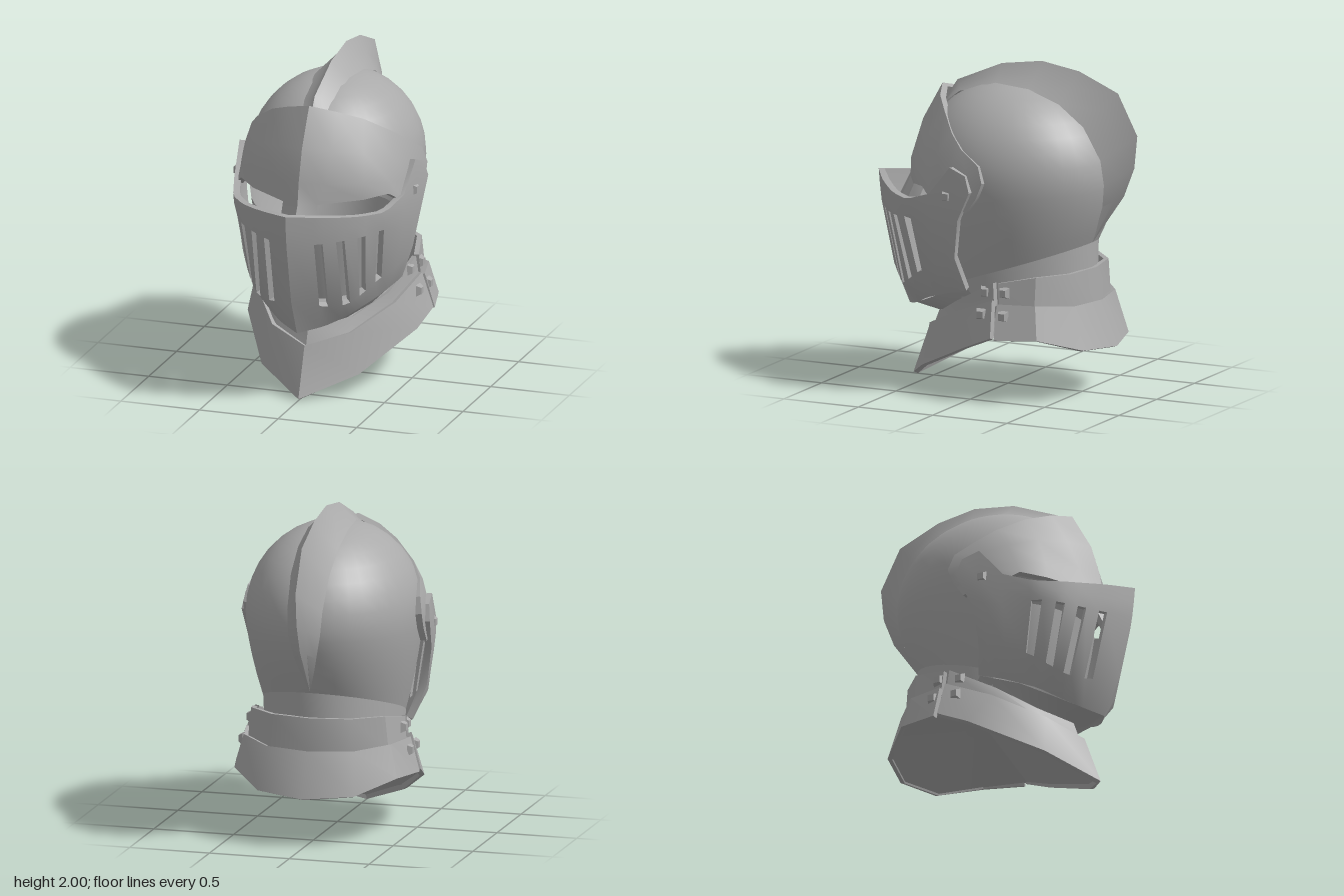
import * as THREE from 'three';
import { toCreasedNormals } from 'three/addons/utils/BufferGeometryUtils.js';

const steel = new THREE.MeshStandardMaterial({ color: 0xaaaaaa, side: THREE.DoubleSide });
steel.name = 'steel';

// Mirrored sheet: rows run top to bottom, each from the centre line (x = 0) out to +x.
// thick > 0 adds an inner skin and edge walls; skip(row, column) cuts openings.
function plate(name, rows, { thick = 0, back = false, crease = 0.6, skip = () => false } = {}) {
  const s = back ? -1 : 1, n = rows[0].length, w = 2 * n - 1;
  const outer = rows.map((r) => [
    ...r.slice(1).reverse().map(([x, y, z]) => new THREE.Vector3(-s * x, y, z)),
    ...r.map(([x, y, z]) => new THREE.Vector3(s * x, y, z)),
  ]);
  const has = (i, j) => i >= 0 && j >= 0 && i < rows.length - 1 && j < w - 1 &&
    !skip(i, j >= n - 1 ? j - n + 1 : n - 2 - j);
  const normals = outer.map((r) => r.map(() => new THREE.Vector3()));
  const cells = [];
  for (let i = 0; i < rows.length - 1; i++) {
    for (let j = 0; j < w - 1; j++) {
      if (!has(i, j)) continue;
      const k = [[i, j], [i + 1, j], [i + 1, j + 1], [i, j + 1]];
      const [a, b, c, d] = k.map(([p, q]) => outer[p][q]);
      const nrm = c.clone().sub(a).cross(d.clone().sub(b)).normalize();
      k.forEach(([p, q]) => normals[p][q].add(nrm));
      cells.push(k);
    }
  }
  const inner = outer.map((r, i) => r.map((p, j) =>
    p.clone().addScaledVector(normals[i][j].normalize(), -thick)));
  const pos = [];
  const tri = (a, b, c) => {
    if (b.clone().sub(a).cross(c.clone().sub(a)).length() > 1e-7)
      for (const p of [a, b, c]) pos.push(p.x, p.y, p.z);
  };
  const quad = (a, b, c, d) => { tri(a, b, c); tri(a, c, d); };
  for (const k of cells) {
    const o = k.map(([p, q]) => outer[p][q]);
    quad(...o);
    if (!thick) continue;
    const e = k.map(([p, q]) => inner[p][q]);
    quad(e[3], e[2], e[1], e[0]);
    const [i, j] = k[0];
    [[i, j - 1], [i + 1, j], [i, j + 1], [i - 1, j]].forEach(([p, q], m) => {
      const t = (m + 1) % 4;
      if (!has(p, q)) quad(o[m], e[m], e[t], o[t]);
    });
  }
  const geo = new THREE.BufferGeometry();
  geo.setAttribute('position', new THREE.Float32BufferAttribute(pos, 3));
  const mesh = new THREE.Mesh(toCreasedNormals(geo, crease), steel);
  mesh.name = name;
  return mesh;
}

// Point at station s along a polyline of key points
function along(keys, s) {
  const i = Math.min(Math.floor(s), keys.length - 2), f = s - i;
  return keys[i].map((v, k) => v + (keys[i + 1][k] - v) * f);
}

// Skull: rounded cap narrowing to the neck, with an opening at the eyes
const lowerEdge = (a) => 0.92 - 0.17 * (1 - Math.cos(a));
function ring(radius, y, from, to) {
  const row = [];
  for (let d = from; d <= to; d += 10) {
    const a = d * Math.PI / 180, c = Math.cos(a);
    row.push([d % 180 ? 0.525 * radius * Math.sin(a) : 0, y(a), -0.05 - (c > 0 ? 0.65 : 0.6) * radius * c]);
  }
  return row;
}

function skull() {
  const rows = [];
  for (let i = 0; i <= 9; i++) {
    const t = i * Math.PI / 18;
    rows.push(ring(Math.sin(t), () => 1.33 + 0.54 * Math.cos(t), 0, 180));
  }
  for (let i = 1; i <= 6; i++) {
    const t = i / 6;
    rows.push(ring(1 - 0.2 * t ** 1.6, (a) => 1.33 + (lowerEdge(a) - 1.33) * t, 0, 180));
  }
  return plate('skull', rows, { back: true, skip: (i, c) => (i === 9 || i === 10) && c >= 11 });
}

// Crest: ridge z, ridge y, base z, base y, half width
function crest() {
  const stations = [
    [0.38, 1.77, 0.385, 1.705, 0.07], [0.34, 1.83, 0.285, 1.78, 0.085],
    [0.04, 1.96, 0.03, 1.861, 0.11], [-0.23, 2.0, -0.2, 1.847, 0.125],
    [-0.48, 1.96, -0.405, 1.773, 0.125], [-0.74, 1.85, -0.568, 1.647, 0.12],
    [-0.87, 1.6, -0.677, 1.452, 0.11], [-0.85, 1.4, -0.696, 1.3, 0.1],
    [-0.78, 1.22, -0.671, 1.16, 0.07], [-0.57, 0.92, -0.57, 0.92, 0.005],
  ];
  const rows = stations.map(([rz, ry, bz, by, w]) => [
    [0, ry, rz], [w * 0.4, (ry + by) / 2, (rz + bz) / 2], [w, by, bz],
  ]);
  return plate('crest', rows, { back: true, crease: 0.7 });
}

// Brow plate, running down between the eyes to the inside of the face guard
function brow() {
  const rows = [
    [[0, 1.8, 0.44], [0.15, 1.76, 0.38], [0.29, 1.7, 0.28], [0.43, 1.6, 0.16], [0.5, 1.52, 0.06], [0.54, 1.44, -0.07], [0.56, 1.34, -0.105]],
    [[0, 1.57, 0.57], [0.17, 1.55, 0.5], [0.33, 1.52, 0.39], [0.46, 1.47, 0.25], [0.52, 1.42, 0.12], [0.555, 1.37, 0], [0.56, 1.3, -0.09]],
    [[0, 1.37, 0.63], [0.15, 1.36, 0.575], [0.35, 1.35, 0.45], [0.47, 1.33, 0.31], [0.53, 1.31, 0.17], [0.56, 1.27, 0.04], [0.56, 1.24, -0.065]],
    [[0, 1.24, 0.65], [0.11, 1.235, 0.6], [0.35, 1.25, 0.46], [0.47, 1.265, 0.34], [0.53, 1.2, 0.25], [0.555, 1.18, 0.1], [0.56, 1.15, 0]],
  ];
  rows.push(rows[3].map((p, i) => (i === 0 ? [0, 0.93, 0.81] : i === 1 ? [0.11, 0.93, 0.74] : p)));
  return plate('browPlate', rows, { thick: 0.04, skip: (i, c) => i === 3 && c > 0 });
}

// Face guard with four breathing slots on each side and an arm up to the pivot
function faceGuard() {
  const keys = [
    [[0, 1.23, 0.87], [0.17, 1.21, 0.76], [0.28, 1.195, 0.67], [0.38, 1.185, 0.58], [0.485, 1.18, 0.44], [0.54, 1.24, 0.26], [0.56, 1.42, 0.11], [0.575, 1.38, 0]],
    [[0, 1.14, 0.862], [0.17, 1.12, 0.752], [0.28, 1.12, 0.667], [0.38, 1.12, 0.577], [0.475, 1.12, 0.45], [0.54, 1.15, 0.26], [0.575, 1.22, 0.12], [0.59, 1.28, -0.035]],
    [[0, 1.04, 0.85], [0.17, 1.035, 0.74], [0.275, 1.04, 0.66], [0.38, 1.05, 0.57], [0.455, 1.065, 0.455], [0.53, 1.04, 0.25], [0.56, 1.07, 0.14], [0.575, 1.1, 0.05]],
    [[0, 0.66, 0.765], [0.17, 0.61, 0.64], [0.285, 0.61, 0.56], [0.355, 0.665, 0.48], [0.42, 0.73, 0.385], [0.49, 0.78, 0.25], [0.525, 0.82, 0.15], [0.535, 0.86, 0.09]],
    [[0, 0.43, 0.66], [0.14, 0.46, 0.565], [0.24, 0.5, 0.475], [0.32, 0.55, 0.38], [0.37, 0.58, 0.29], [0.41, 0.61, 0.2], [0.44, 0.635, 0.11], [0.455, 0.65, 0.05]],
  ];
  const columns = [0, 0.84, 1.16, 1.8, 2.2, 2.8, 3.2, 3.82, 4.18, 5, 6, 7];
  const rows = keys.map((k) => columns.map((s) => along(k, s)));
  return plate('faceGuard', rows, { thick: 0.04, skip: (i, c) => i === 2 && c < 8 && c % 2 === 1 });
}

// Square stud on both sides, pointing outwards
function studs(name, x, y, z) {
  const pair = new THREE.Group();
  pair.name = name;
  for (const side of [1, -1]) {
    const geo = new THREE.CylinderGeometry(0.028, 0.048, 0.03, 4).toNonIndexed();
    geo.rotateY(Math.PI / 4).rotateZ(-side * Math.PI / 2).translate(side * x, y, z);
    geo.computeVertexNormals();
    const mesh = new THREE.Mesh(geo, steel);
    mesh.name = name + (side > 0 ? 'Left' : 'Right');
    pair.add(mesh);
  }
  return pair;
}

export function createModel() {
  const helmet = new THREE.Group();
  helmet.name = 'helmet';
  const shell = { thick: 0.03 }, rear = { thick: 0.03, back: true };
  const apex = Array(4).fill([0, 0.56, -0.17]);
  helmet.add(
    skull(), crest(), brow(), faceGuard(),
    plate('neck', [
      ring(0.8, (a) => lowerEdge(a) + 0.01, 0, 110),
      ring(0.79, (a) => lowerEdge(a) - 0.25, 0, 110),
    ], { back: true }),
    // Underside of the chin, closing the face guard onto the collar
    plate('chinPlate', [
      [[0, 0.44, 0.645], [0.23, 0.505, 0.46], [0.36, 0.585, 0.28], [0.44, 0.655, 0.05]],
      [[0, 0.43, 0.44], [0.2, 0.45, 0.34], [0.32, 0.52, 0.22], [0.43, 0.63, 0.03]],
    ]),
    // Front collar: upper band and flared skirt
    plate('frontCollarBand', [
      [[0, 0.43, 0.45], [0.24, 0.46, 0.33], [0.4, 0.57, 0.14], [0.475, 0.72, -0.14]],
      [[0, 0.29, 0.5], [0.24, 0.36, 0.38], [0.42, 0.48, 0.12], [0.49, 0.58, -0.155]],
    ], shell),
    plate('frontCollarSkirt', [
      [[0, 0.31, 0.525], [0.25, 0.38, 0.4], [0.44, 0.51, 0.13], [0.51, 0.62, -0.15]],
      [[0, 0.005, 0.635], [0.31, 0.13, 0.42], [0.54, 0.32, 0.02], [0.575, 0.4, -0.17]],
    ], shell),
    // Rear collar: upper band and flared skirt
    plate('rearCollarBand', [
      [[0, 0.77, -0.595], [0.25, 0.77, -0.55], [0.42, 0.765, -0.4], [0.48, 0.72, -0.175]],
      [[0, 0.56, -0.605], [0.26, 0.56, -0.56], [0.44, 0.57, -0.4], [0.49, 0.57, -0.19]],
    ], rear),
    plate('rearCollarSkirt', [
      [[0, 0.575, -0.635], [0.27, 0.58, -0.585], [0.46, 0.6, -0.415], [0.515, 0.6, -0.185]],
      [[0, 0.3, -0.735], [0.3, 0.32, -0.66], [0.51, 0.4, -0.45], [0.575, 0.39, -0.195]],
    ], rear),
    // Shallow roof closing the collar from below
    plate('frontCollarLining', [
      [[0, 0.02, 0.605], [0.3, 0.15, 0.4], [0.52, 0.33, 0.01], [0.55, 0.4, -0.17]], apex,
    ]),
    plate('rearCollarLining', [
      [[0, 0.3, -0.705], [0.29, 0.32, -0.635], [0.485, 0.4, -0.44], [0.55, 0.4, -0.17]], apex,
    ], { back: true }),
    studs('pivotStud', 0.568, 1.24, 0.13),
    studs('frontBandStud', 0.465, 0.655, -0.08),
    studs('frontSkirtStud', 0.522, 0.53, -0.08),
    studs('rearBandStud', 0.485, 0.665, -0.215),
    studs('rearSkirtStud', 0.53, 0.53, -0.23),
  );
  return helmet;
}
